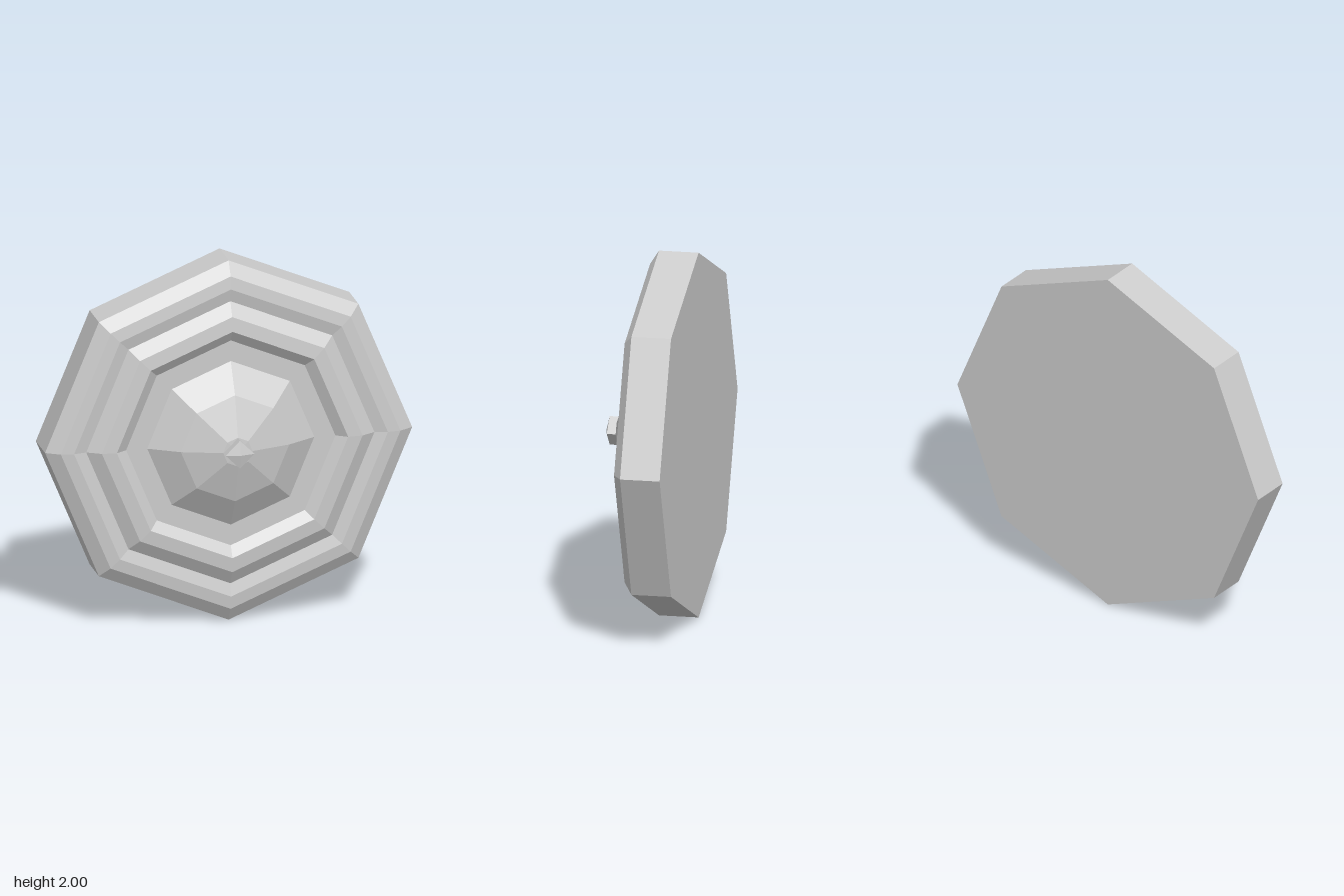
import * as THREE from 'three';

// Faceted turned part: profile of [radius, depth] pairs, axis pointing to +z
function turned(name, profile, sides) {
  const points = profile.map(([r, z]) => new THREE.Vector2(r, z));
  const geometry = new THREE.LatheGeometry(points, sides);
  geometry.rotateX(Math.PI / 2);
  const material = new THREE.MeshStandardMaterial({ color: 0xcccccc, flatShading: true });
  const mesh = new THREE.Mesh(geometry, material);
  mesh.name = name;
  mesh.position.y = 1;
  return mesh;
}

export function createModel() {
  const group = new THREE.Group();
  group.name = 'octagonalShield';

  // Thick plate with flat back, two raised rings and a sunken floor
  group.add(turned('plate', [
    [0, -0.25], [1, -0.25], [1, -0.035],
    [0.925, 0.013], [0.855, 0.021], [0.785, 0.005],
    [0.71, 0.05], [0.63, 0.057], [0.57, 0.015], [0, 0.015],
  ], 8));

  // Faceted central dome
  group.add(turned('dome', [
    [0.455, 0.015], [0.295, 0.115], [0.08, 0.183], [0, 0.19],
  ], 8));

  // Four-sided pointed stud
  group.add(turned('stud', [
    [0.078, 0.175], [0.078, 0.232], [0, 0.25],
  ], 4));

  return group;
}
